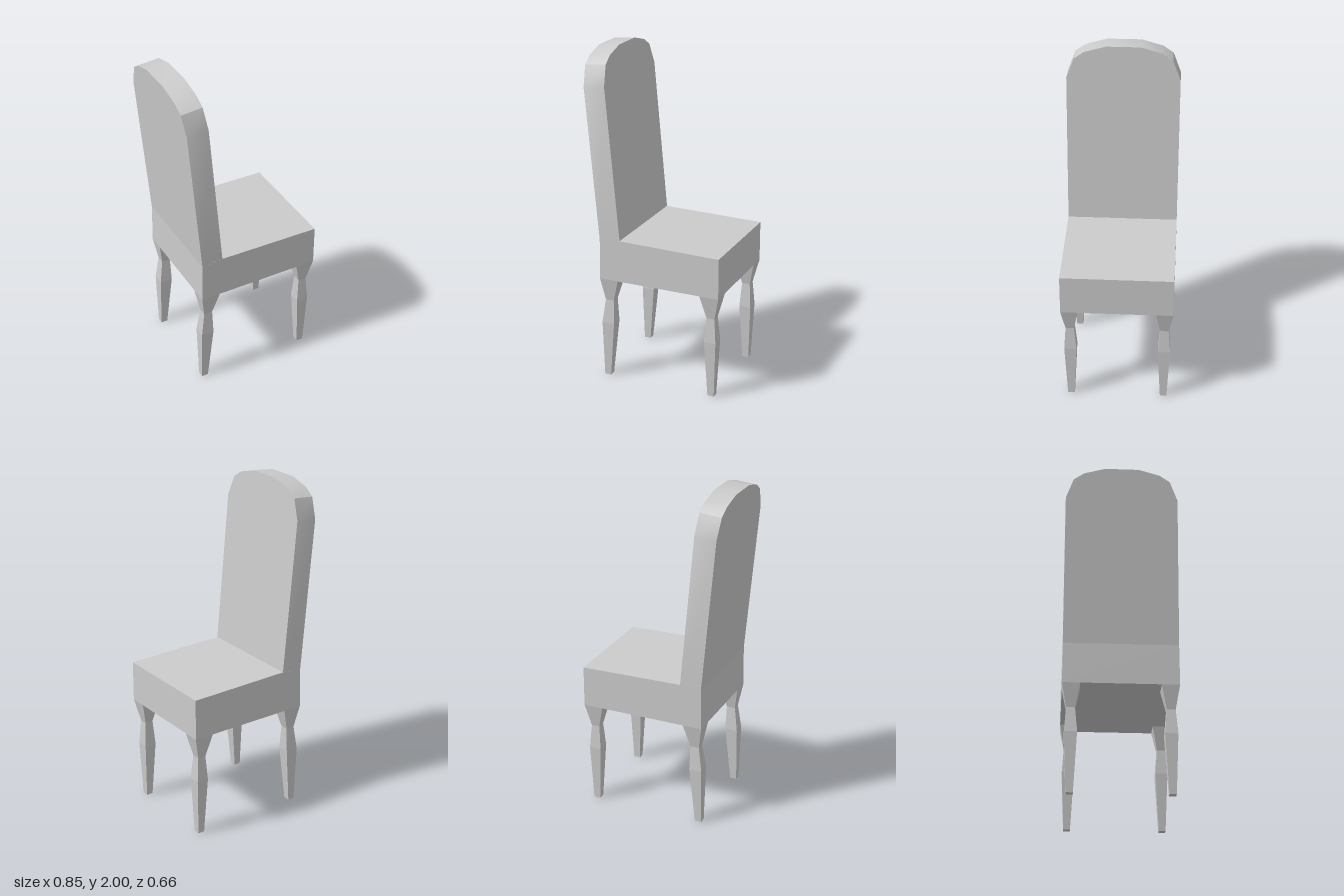
import * as THREE from 'three';
import { toCreasedNormals } from 'three/addons/utils/BufferGeometryUtils.js';

const smooth = new THREE.MeshStandardMaterial({ color: 0xcccccc });
const flat = new THREE.MeshStandardMaterial({ color: 0xcccccc, flatShading: true });

const HALF_WIDTH = 0.33;
const LEAN = 0.09; // backrest tilt in radians

const toShape = (points) => new THREE.Shape(points.map(([x, y]) => new THREE.Vector2(x, y)));

function addMesh(group, name, geometry, material) {
  const mesh = new THREE.Mesh(geometry, material);
  mesh.name = name;
  group.add(mesh);
  return mesh;
}

// Joins rectangular sections [y, x0, x1, z0, z1], listed bottom to top, and closes both ends.
function loftRectangles(sections) {
  const positions = [];
  const index = [];
  for (const [y, x0, x1, z0, z1] of sections) {
    positions.push(x0, y, z1, x1, y, z1, x1, y, z0, x0, y, z0);
  }
  for (let s = 0; s < sections.length - 1; s++) {
    for (let i = 0; i < 4; i++) {
      const a = s * 4 + i;
      const b = s * 4 + ((i + 1) % 4);
      index.push(a, b, b + 4, a, b + 4, a + 4);
    }
  }
  const t = (sections.length - 1) * 4;
  index.push(0, 2, 1, 0, 3, 2, t, t + 1, t + 2, t, t + 2, t + 3);
  const geometry = new THREE.BufferGeometry();
  geometry.setAttribute('position', new THREE.Float32BufferAttribute(positions, 3));
  geometry.setIndex(index);
  const faceted = geometry.toNonIndexed();
  faceted.computeVertexNormals();
  return faceted;
}

export function createModel() {
  const chair = new THREE.Group();
  chair.name = 'chair';

  // Thick seat block, its top sloping very slightly to the front edge
  const seat = new THREE.ExtrudeGeometry(
    toShape([[-0.33, 0.64], [0.425, 0.64], [0.425, 0.885], [-0.197, 0.896], [-0.326, 0.885]]),
    { depth: HALF_WIDTH * 2, bevelEnabled: false }
  );
  seat.translate(0, 0, -HALF_WIDTH);
  addMesh(chair, 'seat', seat, flat);

  // Leaning backrest with an arched top
  const arch = [[HALF_WIDTH, 0.911], [0.285, 1.031], [0.225, 1.072], [0.1, 1.107]];
  const outline = [
    [-HALF_WIDTH, 0], [HALF_WIDTH, 0],
    ...arch,
    ...arch.map(([x, y]) => [-x, y]).reverse(),
  ];
  const back = new THREE.ExtrudeGeometry(toShape(outline), { depth: 0.13, bevelEnabled: false });
  back.rotateY(Math.PI / 2);
  back.rotateZ(LEAN);
  back.translate(-0.326, 0.885, 0);
  addMesh(chair, 'backrest', toCreasedNormals(back, THREE.MathUtils.degToRad(30)), smooth);

  // Legs: [y, x0, x1] sections front and rear, sharing inner and outer z
  const legZ = [[0.26, 0.3], [0.242, 0.315], [0.255, 0.305], [0.228, HALF_WIDTH]];
  const legX = {
    front: [[0, 0.352, 0.392], [0.35, 0.333, 0.405], [0.5, 0.343, 0.393], [0.64, 0.308, 0.425]],
    rear: [[0, -0.323, -0.283], [0.35, -0.327, -0.25], [0.5, -0.306, -0.253], [0.64, -0.33, -0.214]],
  };
  for (const [end, rows] of Object.entries(legX)) {
    for (const side of [1, -1]) {
      const sections = rows.map((row, i) => {
        const [inner, outer] = legZ[i];
        return [...row, ...(side > 0 ? [inner, outer] : [-outer, -inner])];
      });
      addMesh(chair, `${end}Leg${side > 0 ? 'PositiveZ' : 'NegativeZ'}`, loftRectangles(sections), flat);
    }
  }

  return chair;
}
